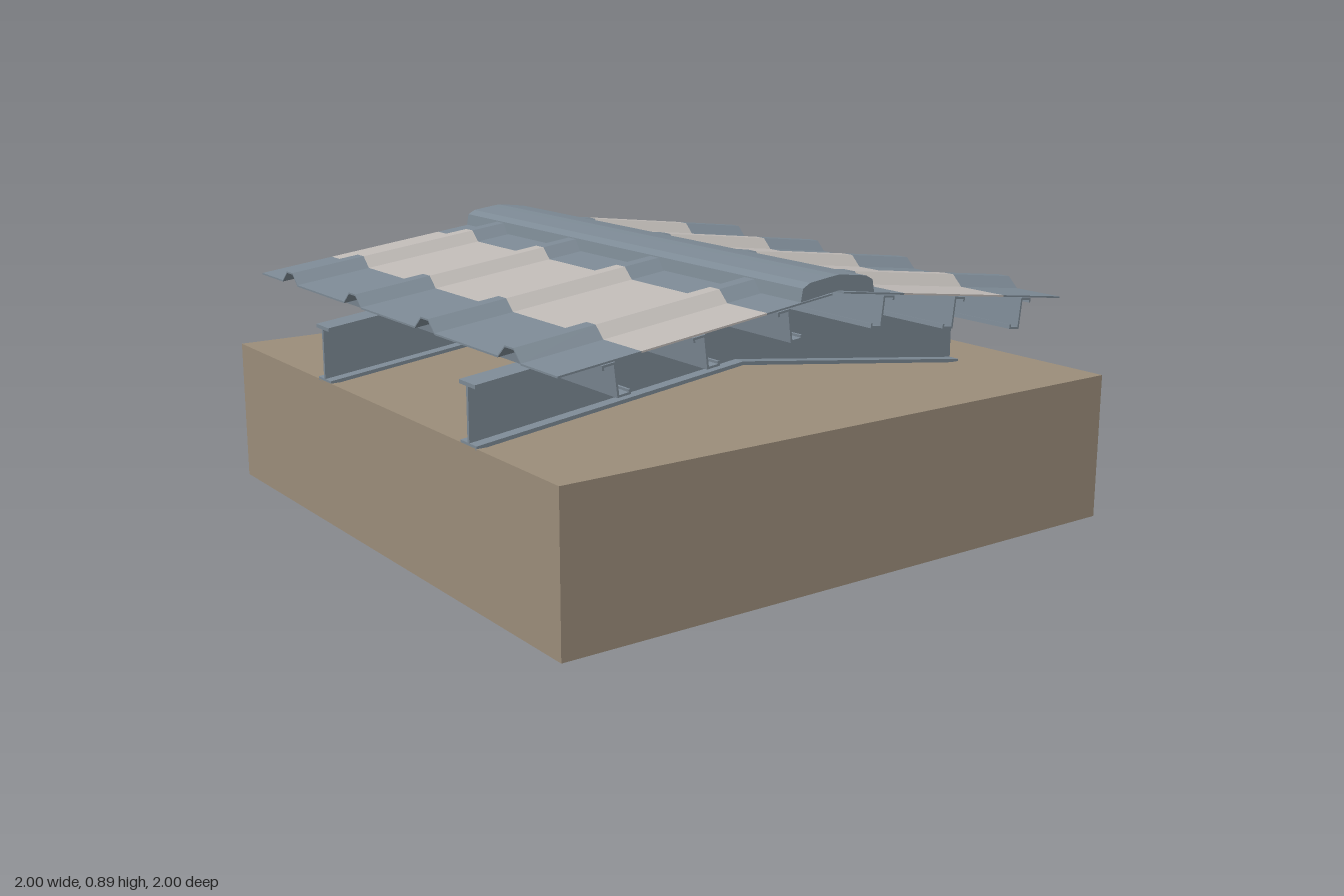
import * as THREE from 'three';

const RIDGE = -0.11;            // x of the ridge line
const HALF = 0.89;              // ridge to eave
const SLOPE = 0.1236;
const Z0 = -0.785, Z1 = 1;      // roof extent along the ridge

const mat = (name, color) => {
  const m = new THREE.MeshStandardMaterial({ color });
  m.name = name;
  return m;
};

const shapeOf = (pts) => new THREE.Shape(pts.map(([x, y]) => new THREE.Vector2(x, y)));

// Prism of an x-y outline running from z0 to z1
function prism(pts, z0, z1) {
  const g = new THREE.ExtrudeGeometry(shapeOf(pts), { depth: z1 - z0, bevelEnabled: false });
  return g.translate(0, 0, z0);
}

// Gable-shaped band between two ridge heights
function gable(yBottom, yTop, zc, width) {
  const drop = SLOPE * HALF;
  return prism([
    [RIDGE - HALF, yBottom - drop], [RIDGE, yBottom], [RIDGE + HALF, yBottom - drop],
    [RIDGE + HALF, yTop - drop], [RIDGE, yTop], [RIDGE - HALF, yTop - drop],
  ], zc - width / 2, zc + width / 2);
}

// Ribbed sheet outline in (z, y), with a small thickness
function sheetOutline() {
  const t = 0.005, h = 0.033;
  const line = [[Z0, 0]];
  for (let i = 0; i < 4; i++) {
    const c = -0.565 + i * 0.447;
    line.push([c - 0.058, 0], [c - 0.021, h], [c + 0.021, h], [c + 0.056, 0]);
  }
  line.push([Z1, 0]);
  return [...line, ...line.map(([z, y]) => [z, y + t]).reverse()];
}

// Sheet band on one side of the ridge, between distances d0 and d1 from it
function sheetBand(side, d0, d1, yRidge) {
  const g = new THREE.ExtrudeGeometry(shapeOf(sheetOutline()), { depth: d1 - d0, bevelEnabled: false });
  const p = g.attributes.position;
  for (let i = 0; i < p.count; i++) {
    const z = p.getX(i), y = p.getY(i), w = p.getZ(i);
    const d = side > 0 ? d1 - w : d0 + w;
    p.setXYZ(i, RIDGE + side * d, yRidge + y - SLOPE * d, z);
  }
  g.computeVertexNormals();
  return g;
}

// Z-shaped purlin section with lips: top flange points down the slope
function purlinOutline(side) {
  const t = 0.006, h = 0.092, f = 0.038, lip = 0.013;
  const pts = [
    [-f, 0], [t / 2, 0], [t / 2, h - t], [f - t, h - t], [f - t, h - lip], [f, h - lip],
    [f, h], [-t / 2, h], [-t / 2, t], [-f + t, t], [-f + t, lip], [-f, lip],
  ];
  return pts.map(([x, y]) => [x * side, y]);
}

export function createModel() {
  const root = new THREE.Group();
  root.name = 'roofSection';
  const steel = mat('blueGreySteel', 0x7c8994);
  const light = mat('paleSkylight', 0xbfbab6);
  const earth = mat('brownBase', 0x9b8d7a);

  const add = (name, geometry, material, parent = root) => {
    const m = new THREE.Mesh(geometry, material);
    m.name = name;
    parent.add(m);
    return m;
  };

  // Solid base block
  add('base', new THREE.BoxGeometry(2, 0.46, 2).translate(0, 0.23, 0), earth);

  // Two I-section gable rafters
  for (const z of [0.556, -0.337]) {
    const rafter = new THREE.Group();
    rafter.name = 'rafter';
    root.add(rafter);
    add('bottomFlange', gable(0.566, 0.577, z, 0.086), steel, rafter);
    add('web', gable(0.577, 0.731, z, 0.01), steel, rafter);
    add('topFlange', gable(0.731, 0.742, z, 0.086), steel, rafter);
  }

  for (const side of [-1, 1]) {
    // Purlins standing square to the slope
    for (const d of [0.16, 0.437, 0.714]) {
      const purlin = add('purlin', prism(purlinOutline(side), Z0, Z1), steel);
      purlin.position.set(RIDGE + side * d, 0.743 - SLOPE * d, 0);
      purlin.rotation.z = -side * Math.atan(SLOPE);
    }
    // Ribbed roof sheets with a skylight band
    add('upperSheet', sheetBand(side, 0.02, 0.245, 0.838), steel);
    add('skylightSheet', sheetBand(side, 0.245, 0.645, 0.838), light);
    add('lowerSheet', sheetBand(side, 0.645, HALF, 0.838), steel);
  }

  // Ridge cap
  const half = [[0.03, 0.886], [0.1, 0.877], [0.124, 0.864], [0.131, 0.828]];
  add('ridgeCap', prism([
    [RIDGE, 0.889],
    ...half.map(([x, y]) => [RIDGE - x, y]),
    [RIDGE, 0.846],
    ...half.map(([x, y]) => [RIDGE + x, y]).reverse(),
  ], Z0, Z1), steel);

  return root;
}
